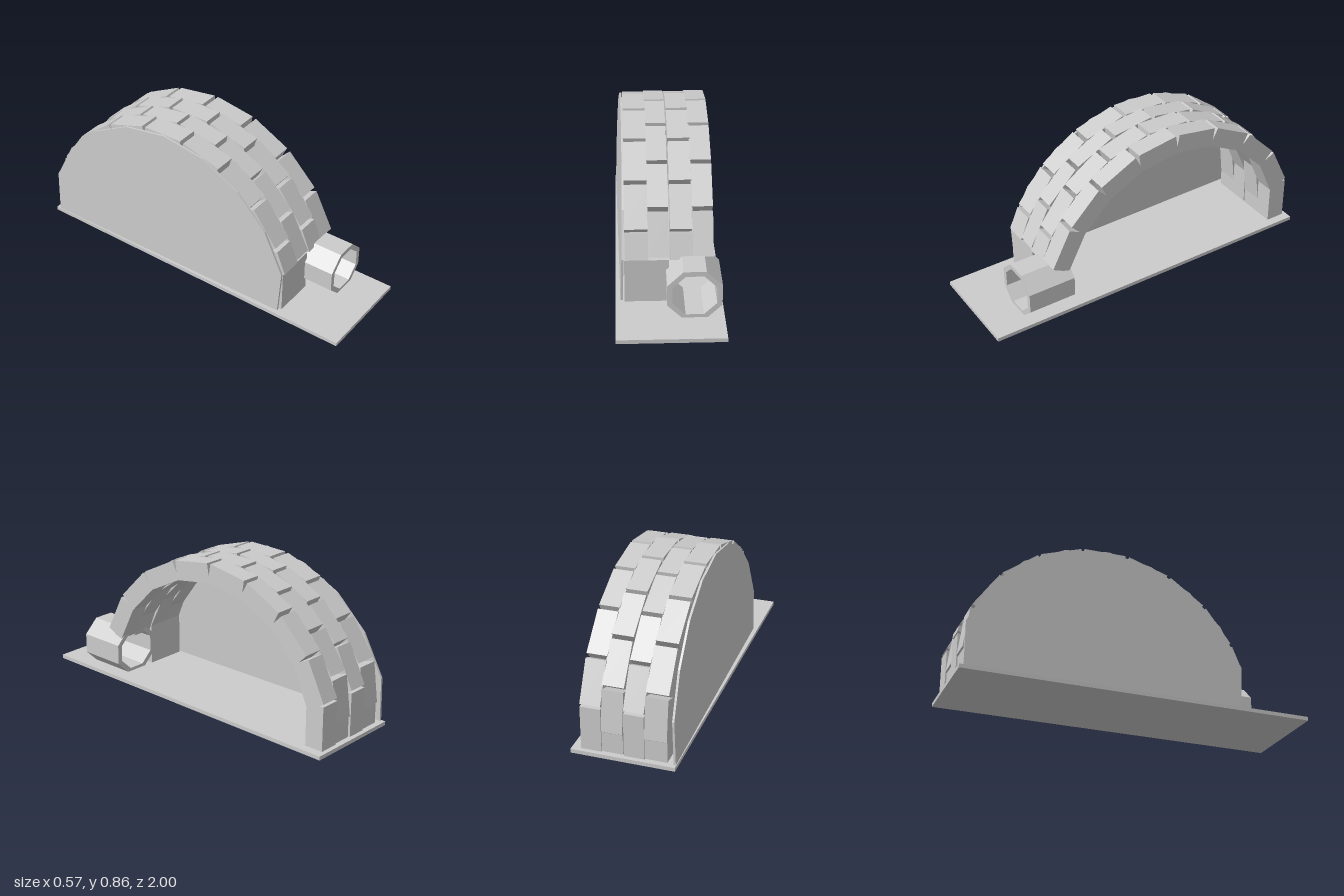
import * as THREE from 'three';

const CZ = -0.18, CY = 0.015;          // centre of the arch
const R_OUT = 0.845, R_MID = 0.775, R_IN = 0.735;
const FLOOR = 0.022, BACK_OUT = -0.975, BACK_IN = -0.865;

const material = new THREE.MeshStandardMaterial({ color: 0xcccccc, flatShading: true });

function add(group, name, geometry) {
  const mesh = new THREE.Mesh(geometry, material);
  mesh.name = name;
  group.add(mesh);
  return mesh;
}

// Box given by its two corners
function block(group, name, [x0, y0, z0], [x1, y1, z1]) {
  add(group, name, new THREE.BoxGeometry(x1 - x0, y1 - y0, z1 - z0))
    .position.set((x0 + x1) / 2, (y0 + y1) / 2, (z0 + z1) / 2);
}

// Point [z, y] on the arch; the angle runs from the crown towards the front
function arcPoint(r, deg, minZ) {
  const t = THREE.MathUtils.degToRad(deg);
  return [Math.max(CZ + r * Math.sin(t), minZ), CY + r * Math.cos(t)];
}

// Extrude a [z, y] outline across x
function slab(points, x0, x1) {
  const shape = new THREE.Shape(points.map(([z, y]) => new THREE.Vector2(-z, y)));
  return new THREE.ExtrudeGeometry(shape, { depth: x1 - x0, bevelEnabled: false })
    .rotateY(Math.PI / 2).translate(x0, 0, 0);
}

// One arch brick: joined at the inside, with V-shaped notches at the outside
function brick(a, b, x0, x1) {
  const gap = 0.8;
  return slab([
    arcPoint(R_IN, a, BACK_IN), arcPoint(R_MID, a, BACK_OUT), arcPoint(R_OUT, a + gap, BACK_OUT),
    arcPoint(R_OUT, b - gap, BACK_OUT), arcPoint(R_MID, b, BACK_OUT), arcPoint(R_IN, b, BACK_IN),
  ], x0, x1);
}

export function createModel() {
  const model = new THREE.Group();
  model.name = 'archedShelter';

  // Ground slab
  block(model, 'base', [-0.285, 0, -1], [0.285, FLOOR, 1]);

  // Four brick courses with staggered joints
  const even = [-72, -54, -36, -18, 0, 18, 36, 54, 72];
  const odd = [-82, -64, -46, -28, -10, 8, 26, 44, 62, 73];
  const courses = [
    { x0: -0.234, x1: -0.11, joints: odd, footTop: 0.14 },
    { x0: -0.112, x1: -0.001, joints: even, footTop: 0.272 },
    { x0: 0.006, x1: 0.126, joints: odd, footTop: 0.14 },
    { x0: 0.122, x1: 0.235, joints: even, footTop: 0.272 },
  ];
  courses.forEach(({ x0, x1, joints, footTop }, i) => {
    const course = new THREE.Group();
    course.name = `archCourse${i + 1}`;
    for (let j = 0; j + 1 < joints.length; j++) {
      add(course, 'archBrick', brick(joints[j], joints[j + 1], x0, x1));
    }
    // Upright foot at the back
    const backZ = joints === odd ? BACK_OUT + 0.008 : BACK_OUT;
    block(course, 'backFoot', [x0, FLOOR, backZ], [x1, footTop, BACK_IN]);
    model.add(course);
  });

  // Wide pier under the front of the two right-hand courses
  block(model, 'frontPier', [-0.237, FLOOR, 0.51], [0, 0.268, 0.615]);

  // Thin closing wall on the right, leaning inwards and slightly skewed
  const outline = [[BACK_OUT, FLOOR]];
  for (let a = -72; a <= 72; a += 18) outline.push(arcPoint(0.835, a, BACK_OUT));
  outline.push([0.6, FLOOR]);
  const wall = slab(outline, 0, 0.012);
  const p = wall.attributes.position;
  for (let i = 0; i < p.count; i++) {
    p.setX(i, p.getX(i) - 0.271 + 0.0145 * (p.getZ(i) - CZ) + 0.03 * p.getY(i));
  }
  wall.computeVertexNormals();
  add(model, 'sideWall', wall);

  // Octagonal entrance tunnel
  const octagon = (apothem) => Array.from({ length: 8 }, (_, k) => {
    const t = (k + 0.5) * Math.PI / 4, r = apothem / Math.cos(Math.PI / 8);
    return new THREE.Vector2(r * Math.cos(t), r * Math.sin(t) * 0.96);
  });
  const ring = new THREE.Shape(octagon(0.144));
  ring.holes.push(new THREE.Path(octagon(0.116)));
  add(model, 'entranceTunnel', new THREE.ExtrudeGeometry(ring, { depth: 0.28, bevelEnabled: false }))
    .position.set(0.127, 0.152, 0.51);

  return model;
}
